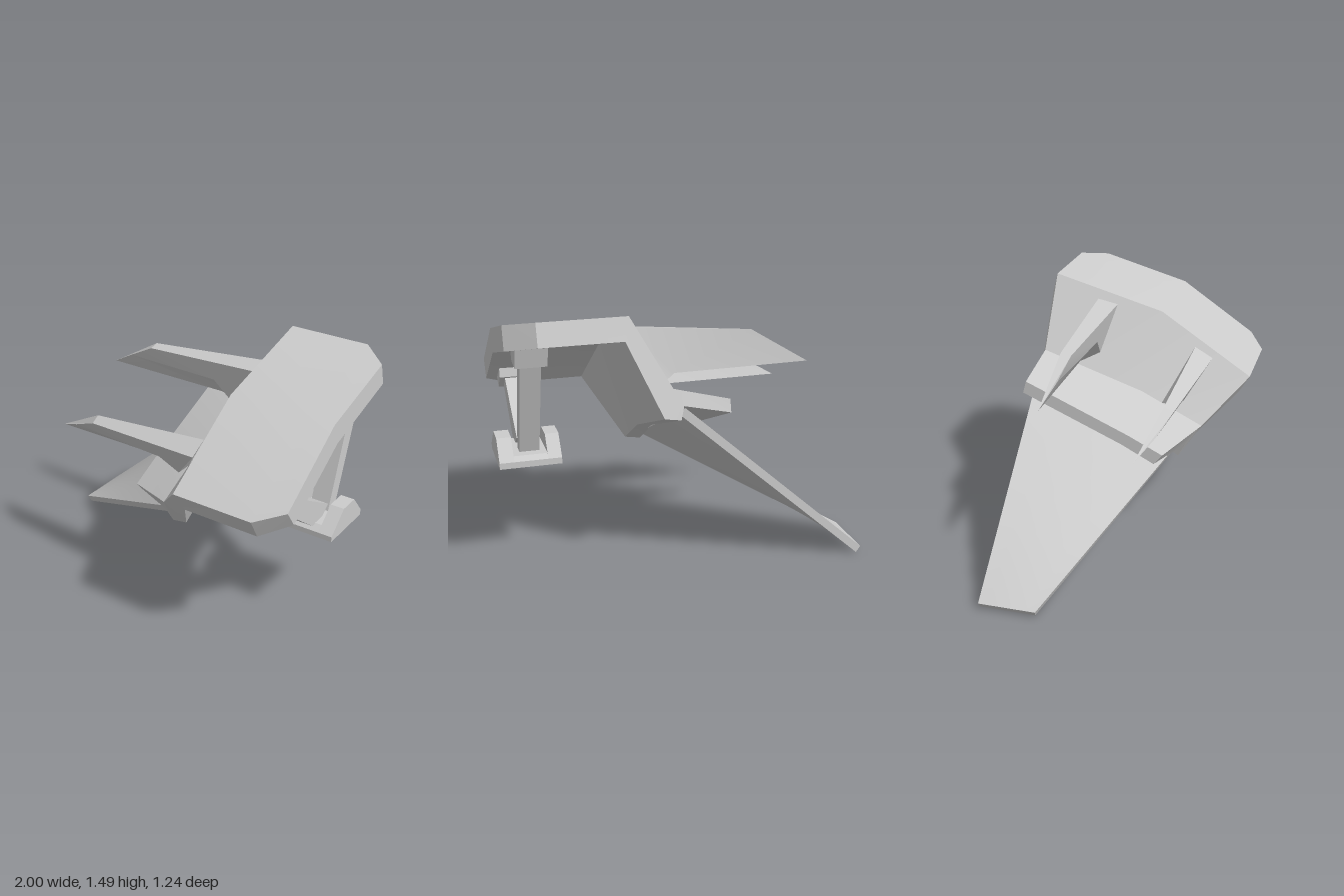
import * as THREE from 'three';
import { toCreasedNormals } from 'three/addons/utils/BufferGeometryUtils.js';

const material = new THREE.MeshStandardMaterial({ color: 0xcccccc });
const mix = THREE.MathUtils.lerp;

// Solid through rings of [x, y, z]; rings run front to back, each counterclockwise seen from the front.
// End caps are strips joining the top half of a ring to its bottom half.
function loft(name, rings) {
  const out = [];
  const tri = (a, b, c) => out.push(...a, ...b, ...c);
  const n = rings[0].length;
  for (let r = 0; r < rings.length - 1; r++) {
    const f = rings[r], b = rings[r + 1];
    for (let i = 0; i < n; i++) {
      const j = (i + 1) % n;
      tri(f[i], b[i], b[j]);
      tri(f[i], b[j], f[j]);
    }
  }
  const first = rings[0], last = rings[rings.length - 1];
  for (let i = 0; i < n / 2 - 1; i++) {
    const p = n - 2 - i, q = n - 1 - i;
    tri(first[i], first[i + 1], first[p]);
    tri(first[i], first[p], first[q]);
    tri(last[i], last[p], last[i + 1]);
    tri(last[i], last[q], last[p]);
  }
  const g = new THREE.BufferGeometry();
  g.setAttribute('position', new THREE.Float32BufferAttribute(out, 3));
  const mesh = new THREE.Mesh(toCreasedNormals(g, 0.42), material);
  mesh.name = name;
  return mesh;
}

// Side outline of [z, y] points extruded across x
function slab(name, outline, xMin, xMax) {
  const shape = new THREE.Shape(outline.map(([z, y]) => new THREE.Vector2(z, y)));
  const g = new THREE.ExtrudeGeometry(shape, { depth: xMax - xMin, bevelEnabled: false });
  g.rotateY(-Math.PI / 2).translate(xMax, 0, 0);
  const mesh = new THREE.Mesh(g, material);
  mesh.name = name;
  return mesh;
}

// Twisted slab: straight lines from root to tip, swept from the front edge to the back edge
function wingRings() {
  const steps = 6, rings = [];
  for (let r = 0; r <= steps; r++) {
    const t = r / steps, top = [], bottom = [];
    for (let i = 0; i <= steps; i++) {
      const s = i / steps;
      const z = mix(mix(0.24, -0.59, t), mix(-0.27, -0.595, t), s);
      top.push([mix(0.06, -1, s), mix(mix(0.59, 0.985, t), 0.04, s), z]);
      bottom.unshift([mix(0.1, -0.975, s), mix(mix(0.56, 0.96, t), 0.005, s), z - 0.008 * (1 - t)]);
    }
    rings.push([...top, ...bottom]);
  }
  return rings;
}

export function createModel() {
  const group = new THREE.Group();

  // Bent armour plate stepping down to a side shelf, with a lip underneath; rows of [y, z]
  const plateX = [0.97, 0.82, 0.35, 0.12, 0.09, 0.06, -0.19, -0.19, 0.07, 0.09, 0.18, 0.38, 0.82, 0.97];
  const plateRows = [
    [[1.01, 0.52], [0.955, 0.615], [0.955, 0.615], [0.71, 0.38], [0.704, 0.364], [0.697, 0.348], [0.645, 0.22],
      [0.585, 0.17], [0.605, 0.295], [0.515, 0.25], [0.53, 0.25], [0.84, 0.55], [0.84, 0.55], [0.91, 0.45]],
    [[1.31, 0.08], [1.31, 0.08], [1.31, 0.08], [0.89, 0.02], [0.876, 0.02], [0.862, 0.02], [0.745, 0.02],
      [0.685, -0.02], [0.79, -0.03], [0.705, -0.05], [0.715, -0.05], [1.185, 0.03], [1.185, 0.03], [1.185, 0.03]],
    [[1.455, -0.43], [1.49, -0.56], [1.49, -0.56], [1.09, -0.57], [1.082, -0.571], [1.074, -0.572], [1.01, -0.58],
      [0.94, -0.6], [1.0, -0.6], [0.93, -0.62], [0.945, -0.62], [1.37, -0.6], [1.37, -0.6], [1.33, -0.47]],
  ];
  group.add(loft('shoulderPlate', plateRows.map(row => row.map(([y, z], i) => [plateX[i], y, z]))));

  // Tapering wing hanging from the lip
  group.add(loft('lowerWing', wingRings()));

  // Two pointed blades, modelled relative to the upper inner corner
  const bladeRings = [
    [[0.32, 1.06, 0.395], [-0.41, 1.02, 0.33], [-0.58, 0.94, 0.275], [0.04, 0.94, 0.311], [0.14, 0.85, 0.266]],
    [[0.32, 1.12, 0.29], [-0.41, 1.05, 0.28], [-0.74, 0.865, 0.2], [0.04, 0.865, 0.19], [0.12, 0.83, 0.14]],
  ].map(ring => ring.map(([x, y, z]) => [x, y - 1.12, z - 0.29]));
  for (const [name, y, z, tilt] of [['frontBlade', 1.12, 0.29, 0], ['rearBlade', 1.365, -0.3, -0.32]]) {
    const blade = loft(name, bladeRings);
    blade.position.set(0, y, z);
    blade.rotation.x = tilt;
    group.add(blade);
  }

  // Foot: base between two cheeks
  const cheek = [[0.075, 0.615], [0.075, 0.645], [-0.05, 0.76], [-0.17, 0.76], [-0.265, 0.65], [-0.265, 0.615]];
  group.add(slab('footCheekInner', cheek, 0.66, 0.735));
  group.add(slab('footCheekOuter', cheek, 0.92, 1.0));
  group.add(slab('footBase', [[0.075, 0.615], [0.075, 0.645], [0.04, 0.675], [-0.24, 0.675], [-0.265, 0.65], [-0.265, 0.615]], 0.735, 0.92));

  // Struts and their caps under the plate
  group.add(slab('rearStrut', [[-0.1, 0.66], [-0.18, 0.66], [-0.38, 1.26], [-0.29, 1.26]], 0.77, 0.88));
  group.add(slab('rearStrutCap', [[-0.25, 1.28], [-0.28, 1.22], [-0.39, 1.21], [-0.42, 1.33]], 0.74, 0.91));
  group.add(slab('frontStrut', [[-0.1, 0.725], [-0.02, 0.66], [0.07, 0.67], [0.39, 0.91], [0.32, 0.97]], 0.77, 0.88));
  group.add(slab('frontStrutCap', [[0.42, 0.92], [0.36, 0.88], [0.28, 0.96], [0.29, 1.02]], 0.74, 0.91));

  return group;
}
